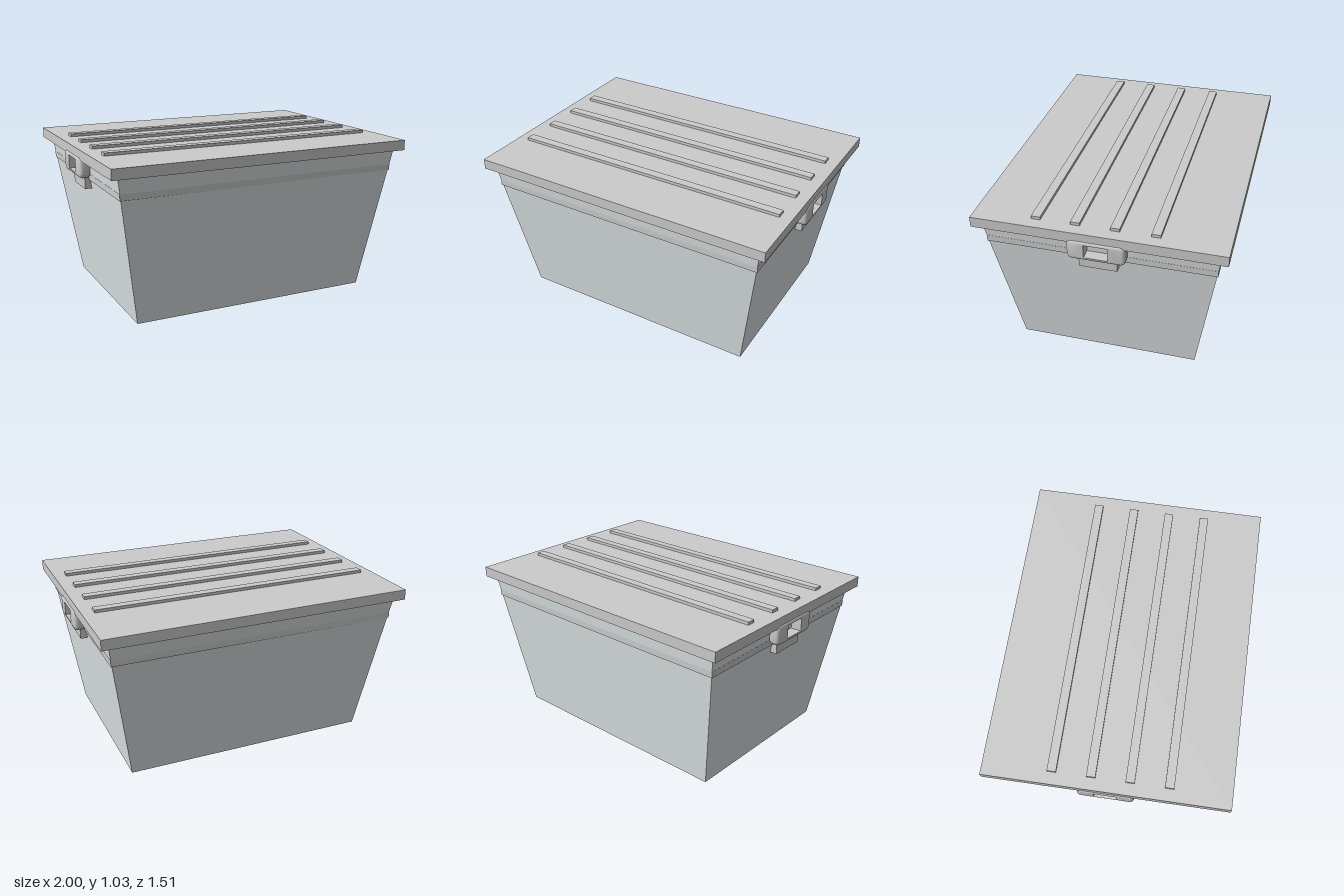
import * as THREE from 'three';
import { toCreasedNormals } from 'three/addons/utils/BufferGeometryUtils.js';

const grey = new THREE.MeshStandardMaterial({ color: 0xcccccc });
const pale = new THREE.MeshStandardMaterial({ color: 0xe2e8e9 });

function add(parent, name, geometry, material, x = 0, y = 0, z = 0) {
  const mesh = new THREE.Mesh(geometry, material);
  mesh.name = name;
  mesh.position.set(x, y, z);
  parent.add(mesh);
  return mesh;
}

// Box that widens from its base to its top, standing on y = 0
function taperedBox(bottomX, bottomZ, topX, topZ, height) {
  const geo = new THREE.BoxGeometry(2, height, 2).translate(0, height / 2, 0);
  const p = geo.attributes.position;
  for (let i = 0; i < p.count; i++) {
    const top = p.getY(i) > height / 2;
    p.setX(i, p.getX(i) * (top ? topX : bottomX));
    p.setZ(i, p.getZ(i) * (top ? topZ : bottomZ));
  }
  return toCreasedNormals(geo, 0.3);
}

// Rounded latch frame with a straight-walled window, facing along x
function latchGeometry() {
  const bevel = 0.02, depth = 0.028;
  const w = 0.174 - bevel, h = 0.066 - bevel, r = 0.012;
  const holeW = 0.071, holeH = 0.0425;
  const shape = new THREE.Shape();
  shape.moveTo(w, -h + r);
  shape.absarc(w - r, h - r, r, 0, Math.PI / 2);
  shape.absarc(-w + r, h - r, r, Math.PI / 2, Math.PI);
  shape.absarc(-w + r, -h + r, r, Math.PI, Math.PI * 1.5);
  shape.absarc(w - r, -h + r, r, Math.PI * 1.5, Math.PI * 2);
  const hole = new THREE.Path();
  hole.moveTo(-holeW, -holeH);
  hole.lineTo(-holeW, holeH);
  hole.lineTo(holeW, holeH);
  hole.lineTo(holeW, -holeH);
  hole.closePath();
  shape.holes.push(hole);
  const geo = new THREE.ExtrudeGeometry(shape, {
    depth, bevelEnabled: true, bevelSize: bevel, bevelThickness: bevel,
    bevelSegments: 4, curveSegments: 5,
  });
  // Square up the window walls so only the outer rim is rounded
  const p = geo.attributes.position;
  for (let i = 0; i < p.count; i++) {
    if (Math.abs(p.getX(i)) < 0.11) {
      p.setX(i, Math.sign(p.getX(i)) * holeW);
      p.setY(i, Math.sign(p.getY(i)) * holeH);
    }
  }
  geo.translate(0, 0, -depth / 2).rotateY(Math.PI / 2);
  return toCreasedNormals(geo, 0.6);
}

export function createModel() {
  const model = new THREE.Group();
  model.name = 'storageBox';

  // Tapered container and the band around its neck
  add(model, 'container', taperedBox(0.8, 0.567, 0.942, 0.708, 0.95), pale);
  add(model, 'neckBand', new THREE.BoxGeometry(1.856, 0.04, 1.386), grey, 0, 0.83, 0);

  // Flat lid with raised ribs
  add(model, 'lid', new THREE.BoxGeometry(1.986, 0.066, 1.508), grey, 0, 0.979, 0);
  for (const z of [-0.332, -0.095, 0.141, 0.377]) {
    add(model, 'lidRib', new THREE.BoxGeometry(1.834, 0.03, 0.055), grey, 0, 1.016, z);
  }

  // Latch and catch on each end
  const latch = latchGeometry();
  for (const side of [1, -1]) {
    const group = new THREE.Group();
    group.name = side > 0 ? 'leftLatch' : 'rightLatch';
    add(group, 'latchFrame', latch, grey, side * 0.966, 0.898, 0);
    add(group, 'latchCatch', new THREE.BoxGeometry(0.075, 0.085, 0.23), grey, side * 0.919, 0.7975, 0);
    model.add(group);
  }
  return model;
}
